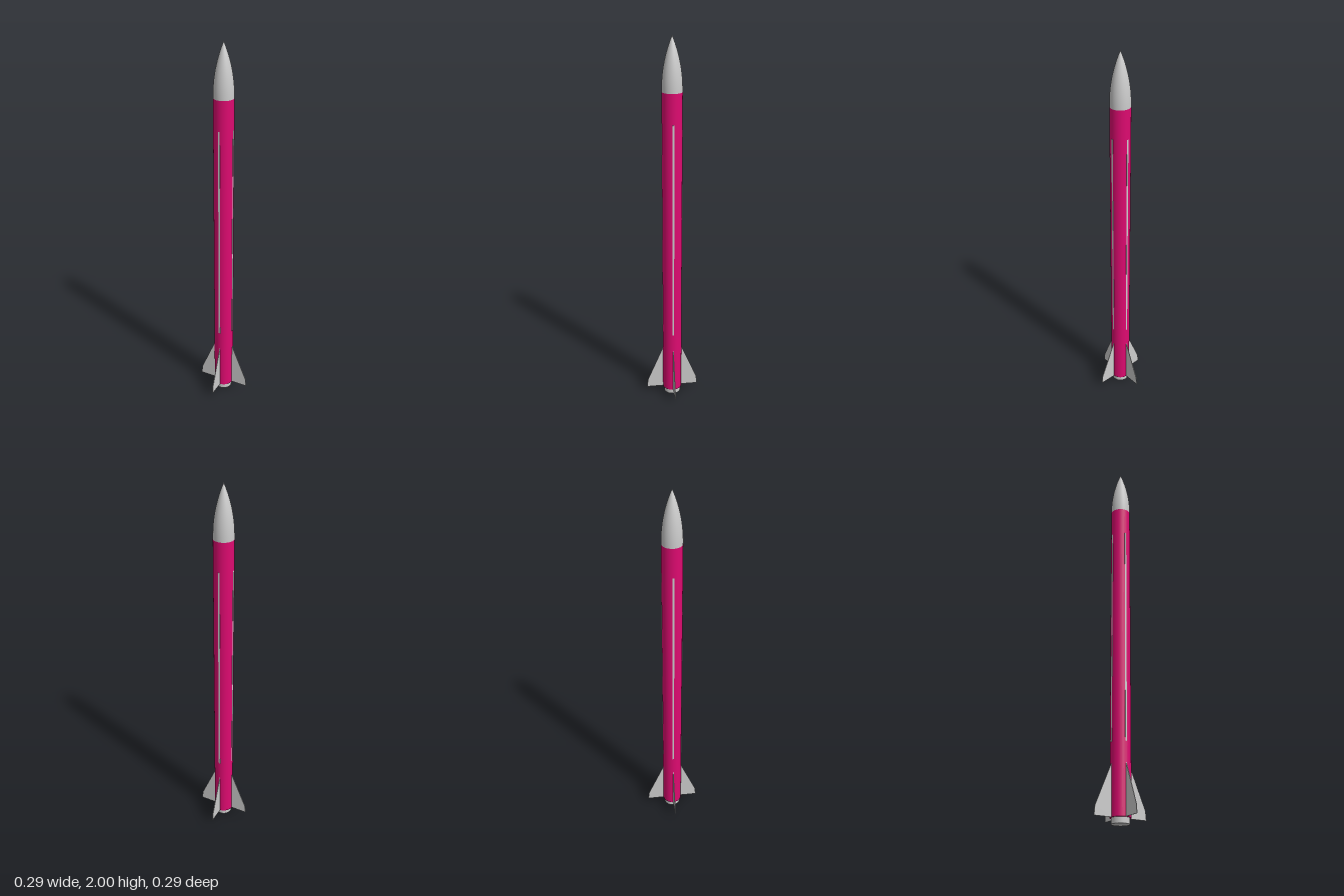
import * as THREE from 'three';

const R = 0.052; // body radius
const grey = new THREE.MeshStandardMaterial({ color: 0xcccccc });
const pink = new THREE.MeshStandardMaterial({ color: 0xdd0a70 });

function addMesh(parent, name, geometry, material, y = 0) {
  const mesh = new THREE.Mesh(geometry, material);
  mesh.name = name;
  mesh.position.y = y;
  parent.add(mesh);
  return mesh;
}

// Tangent ogive: full radius at the base, pointed at the tip
function ogivePoints(radius, base, tip, steps) {
  const length = tip - base;
  const rho = (radius * radius + length * length) / (2 * radius);
  const points = [];
  for (let i = 0; i <= steps; i++) {
    const h = (length * i) / steps;
    const r = Math.sqrt(rho * rho - h * h) + radius - rho;
    points.push(new THREE.Vector2(Math.max(r, 0), base + h));
  }
  return points;
}

export function createModel() {
  const rocket = new THREE.Group();
  rocket.name = 'rocket';

  // Body tube and engine nozzle
  addMesh(rocket, 'body', new THREE.CylinderGeometry(R, R, 1.7, 48), pink, 0.88);
  addMesh(rocket, 'nozzle', new THREE.CylinderGeometry(0.045, 0.045, 0.04, 48), grey, 0.02);

  // Nose cone with a short straight collar
  addMesh(rocket, 'noseCollar', new THREE.CylinderGeometry(R, R, 0.01, 48, 1, true), grey, 1.735);
  addMesh(rocket, 'noseCone', new THREE.LatheGeometry(ogivePoints(R, 1.74, 2, 20), 48), grey);

  // Swept fin outline, rooted inside the body
  const finShape = new THREE.Shape([
    [0.045, 0.03], [0.144, 0.03], [0.14, 0.075], [R, 0.285], [0.045, 0.285],
  ].map(([x, y]) => new THREE.Vector2(x, y)));
  const finGeometry = new THREE.ExtrudeGeometry(finShape, { depth: 0.003, bevelEnabled: false });
  finGeometry.translate(0, 0, -0.0025);
  const stripGeometry = new THREE.BoxGeometry(0.004, 1.185, 0.009);

  // Four fins, each below a long raised strip
  for (let i = 0; i < 4; i++) {
    const side = new THREE.Group();
    side.name = `finSide${i + 1}`;
    side.rotation.y = (i * Math.PI) / 2;
    addMesh(side, 'fin', finGeometry, grey);
    addMesh(side, 'strip', stripGeometry, grey, 0.9825).position.x = R - 0.001;
    rocket.add(side);
  }
  return rocket;
}
